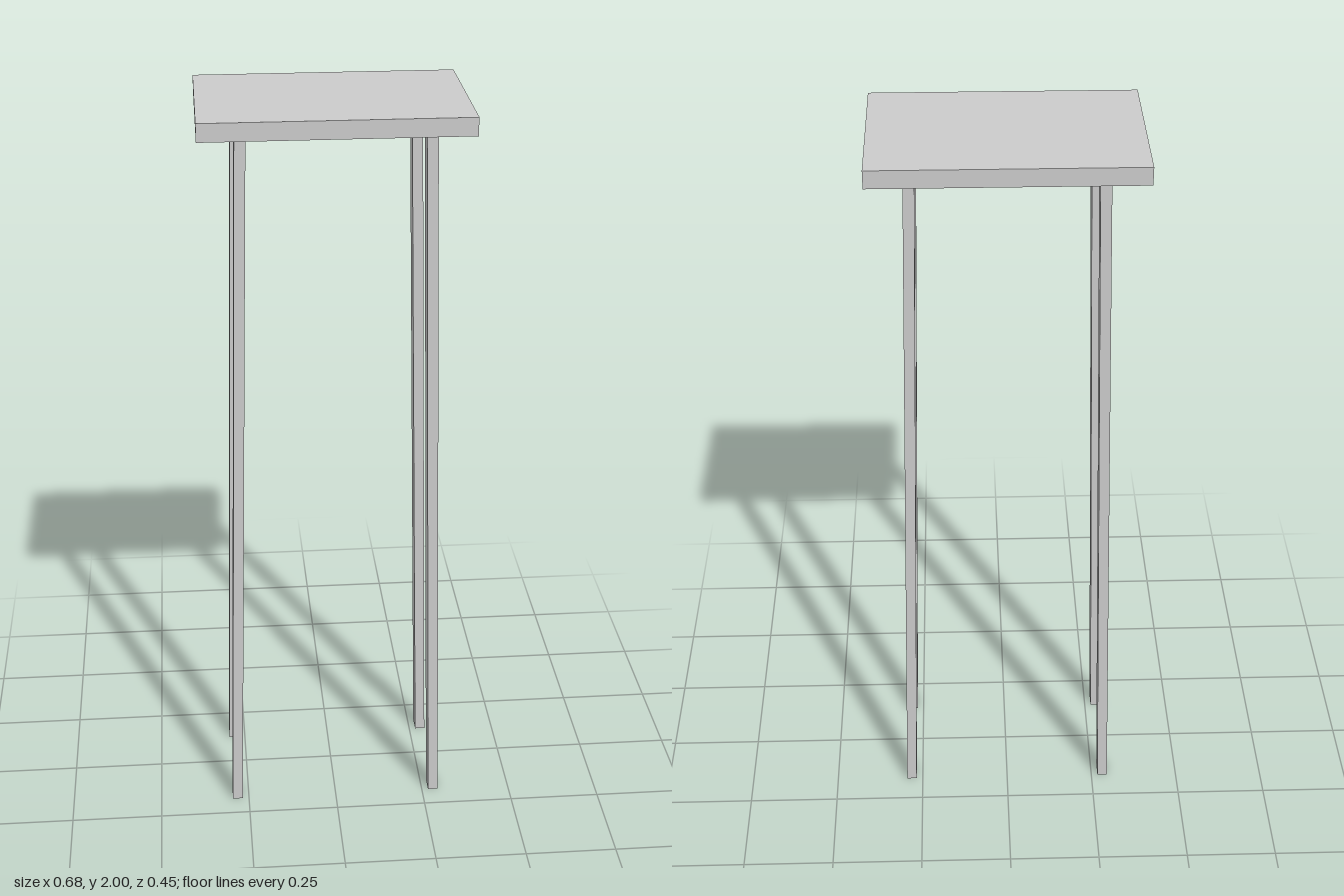
import * as THREE from 'three';

export function createModel() {
  const model = new THREE.Group();
  const material = new THREE.MeshStandardMaterial({ color: 0xcccccc, flatShading: true });

  // Flat rectangular top
  const topHeight = 0.047;
  const legHeight = 2 - topHeight;
  const top = new THREE.Mesh(new THREE.BoxGeometry(0.682, topHeight, 0.449), material);
  top.name = 'tableTop';
  top.position.y = 2 - topHeight / 2;
  model.add(top);

  // Slender leg, sheared so that its foot splays outwards along x
  function makeLeg(name, side, z) {
    const footX = 0.282, headX = 0.235;
    const geometry = new THREE.BoxGeometry(0.028, legHeight, 0.048);
    geometry.translate(0, legHeight / 2, 0);
    const p = geometry.attributes.position;
    for (let i = 0; i < p.count; i++) {
      const x = THREE.MathUtils.lerp(footX, headX, p.getY(i) / legHeight);
      p.setX(i, p.getX(i) + side * x);
    }
    geometry.computeVertexNormals();
    const leg = new THREE.Mesh(geometry, material);
    leg.name = name;
    leg.position.z = z;
    model.add(leg);
  }

  // Four legs; the set sits slightly forward under the top
  for (const [label, side] of [['Left', 1], ['Right', -1]]) {
    makeLeg('front' + label + 'Leg', side, 0.161);
    makeLeg('back' + label + 'Leg', side, -0.146);
  }

  return model;
}
